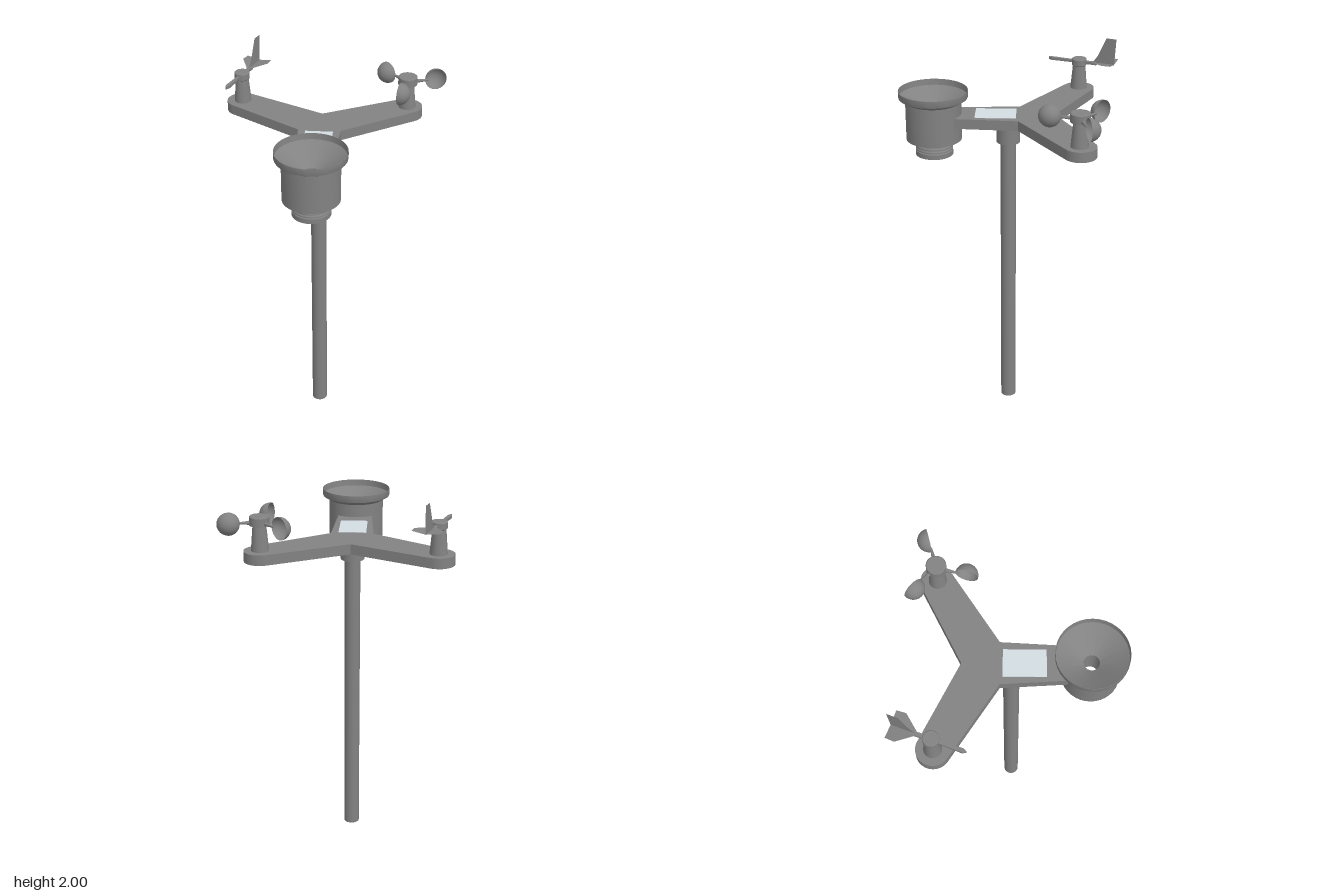
import * as THREE from 'three';
import { toCreasedNormals } from 'three/addons/utils/BufferGeometryUtils.js';

// Hollow and thin parts share this material, so both faces show
const body = new THREE.MeshStandardMaterial({ color: 0x828282, side: THREE.DoubleSide });
const panelMat = new THREE.MeshStandardMaterial({ color: 0xd3dce1 });

function add(parent, name, geometry, material = body, x = 0, y = 0, z = 0) {
  const mesh = new THREE.Mesh(geometry, material);
  mesh.name = name;
  mesh.position.set(x, y, z);
  parent.add(mesh);
  return mesh;
}

// Turned part from [radius, height] pairs, with crisp edges
function turned(profile, segments = 32) {
  const pts = profile.map(([r, y]) => new THREE.Vector2(r, y));
  return toCreasedNormals(new THREE.LatheGeometry(pts, segments), 0.5);
}

function outline(points) {
  return new THREE.Shape(points.map(([x, y]) => new THREE.Vector2(x, y)));
}

// Y-shaped bracket: two rounded arms at the back, one square arm at the front
function bracketGeometry() {
  const r = 0.083, cx = 0.435, cy = 0.362;
  const shape = new THREE.Shape();
  shape.moveTo(-0.09, -0.28);
  shape.lineTo(0.09, -0.28);
  shape.lineTo(0.109, 0.05);
  shape.absarc(cx, cy, r, -1.0, 2.03, false);
  shape.lineTo(0, 0.236);
  shape.absarc(-cx, cy, r, Math.PI - 2.03, Math.PI + 1.0, false);
  shape.lineTo(-0.109, 0.05);
  shape.closePath();
  const geo = new THREE.ExtrudeGeometry(shape, { depth: 0.053, bevelEnabled: false, curveSegments: 16 });
  geo.rotateX(-Math.PI / 2);
  return toCreasedNormals(geo, 0.5);
}

// Tapered post with a collar on top
function postGeometry(capRadius, top) {
  return turned([[0, 0], [0.045, 0], [0.034, 0.125], [capRadius, 0.13],
    [capRadius, top - 0.004], [capRadius - 0.004, top], [0, top]], 24);
}

function rainGauge() {
  const group = new THREE.Group();
  group.name = 'rainGauge';
  // Bucket with flared rim and funnel open to the drain
  add(group, 'bucket', turned([
    [0.039, 1.57], [0.145, 1.57], [0.145, 1.775], [0.178, 1.795], [0.18, 1.8],
    [0.18, 1.832], [0.179, 1.832], [0.176, 1.8], [0.143, 1.777], [0.039, 1.715], [0.039, 1.57],
  ], 36));
  // Open outlet tube with louvred rings that overhang downwards
  const outlet = [[0.092, 1.484], [0.098, 1.484], [0.098, 1.51]];
  for (let i = 0; i < 4; i++) {
    const y = 1.51 + i * 0.016;
    outlet.push([0.092, y + 0.005], [0.098, y + 0.006], [0.098, y + 0.012]);
  }
  outlet.push([0.092, 1.575], [0.092, 1.484]);
  add(group, 'louvredOutlet', turned(outlet));
  return group;
}

function anemometer() {
  const group = new THREE.Group();
  group.name = 'anemometer';
  add(group, 'anemometerPost', postGeometry(0.05, 0.175));
  for (let i = 0; i < 3; i++) {
    const arm = new THREE.Group();
    arm.name = 'cupArm';
    arm.position.y = 0.143;
    arm.rotation.y = THREE.MathUtils.degToRad(15 + i * 120);
    const rod = new THREE.CylinderGeometry(0.005, 0.012, 0.08, 8).rotateZ(-Math.PI / 2);
    add(arm, 'cupRod', rod, body, 0.07);
    const cup = new THREE.SphereGeometry(0.057, 24, 10, 0, Math.PI * 2, 0, Math.PI / 2);
    add(arm, 'windCup', cup.rotateX(-Math.PI / 2), body, 0.152);
    group.add(arm);
  }
  return group;
}

function windVane() {
  const group = new THREE.Group();
  group.name = 'windVane';
  add(group, 'vanePost', postGeometry(0.04, 0.165));
  // The vane points along local -x, its tail along +x
  const vane = new THREE.Group();
  vane.name = 'vane';
  vane.position.y = 0.148;
  vane.rotation.y = Math.atan2(0.938, 0.347);
  const pointer = new THREE.ExtrudeGeometry(outline([
    [-0.175, -0.003], [-0.155, -0.011], [-0.05, -0.008], [0.1, -0.011],
    [0.1, 0.011], [-0.05, 0.008], [-0.155, 0.011], [-0.175, 0.003],
  ]), { depth: 0.014, bevelEnabled: false });
  add(vane, 'pointer', pointer.rotateX(-Math.PI / 2), body, 0, -0.009);
  // Two thin tail wings, drooping slightly from the middle
  for (const side of [-1, 1]) {
    const wing = new THREE.ShapeGeometry(outline([[0.075, 0], [0.075, side * 0.013],
      [0.15, side * 0.075], [0.198, side * 0.072], [0.198, 0]]));
    add(vane, 'tailWing', wing.rotateX(-Math.PI / 2 + side * 0.15), body, 0, 0.003);
  }
  const fin = outline([[0.075, 0], [0.198, 0], [0.206, 0.144], [0.15, 0.144], [0.105, 0.042]]);
  add(vane, 'tailFin', new THREE.ShapeGeometry(fin));
  group.add(vane);
  return group;
}

export function createModel() {
  const model = new THREE.Group();
  model.name = 'weatherStation';
  const cx = -0.06;

  // Mast and socket
  add(model, 'mast', new THREE.CylinderGeometry(0.041, 0.041, 1.6, 32), body, cx, 0.8, 0.005);
  add(model, 'mastSocket', new THREE.CylinderGeometry(0.062, 0.062, 0.103, 32), body, cx, 1.609, 0.005);

  add(model, 'bracket', bracketGeometry(), body, cx, 1.656, 0);
  add(model, 'solarPanel', new THREE.BoxGeometry(0.142, 0.006, 0.212), panelMat, cx, 1.708, 0.07);

  const gauge = rainGauge();
  gauge.position.set(cx, 0, 0.392);
  const cups = anemometer();
  cups.position.set(0.377, 1.708, -0.358);
  const vane = windVane();
  vane.position.set(-0.495, 1.708, -0.362);
  model.add(gauge, cups, vane);
  return model;
}
